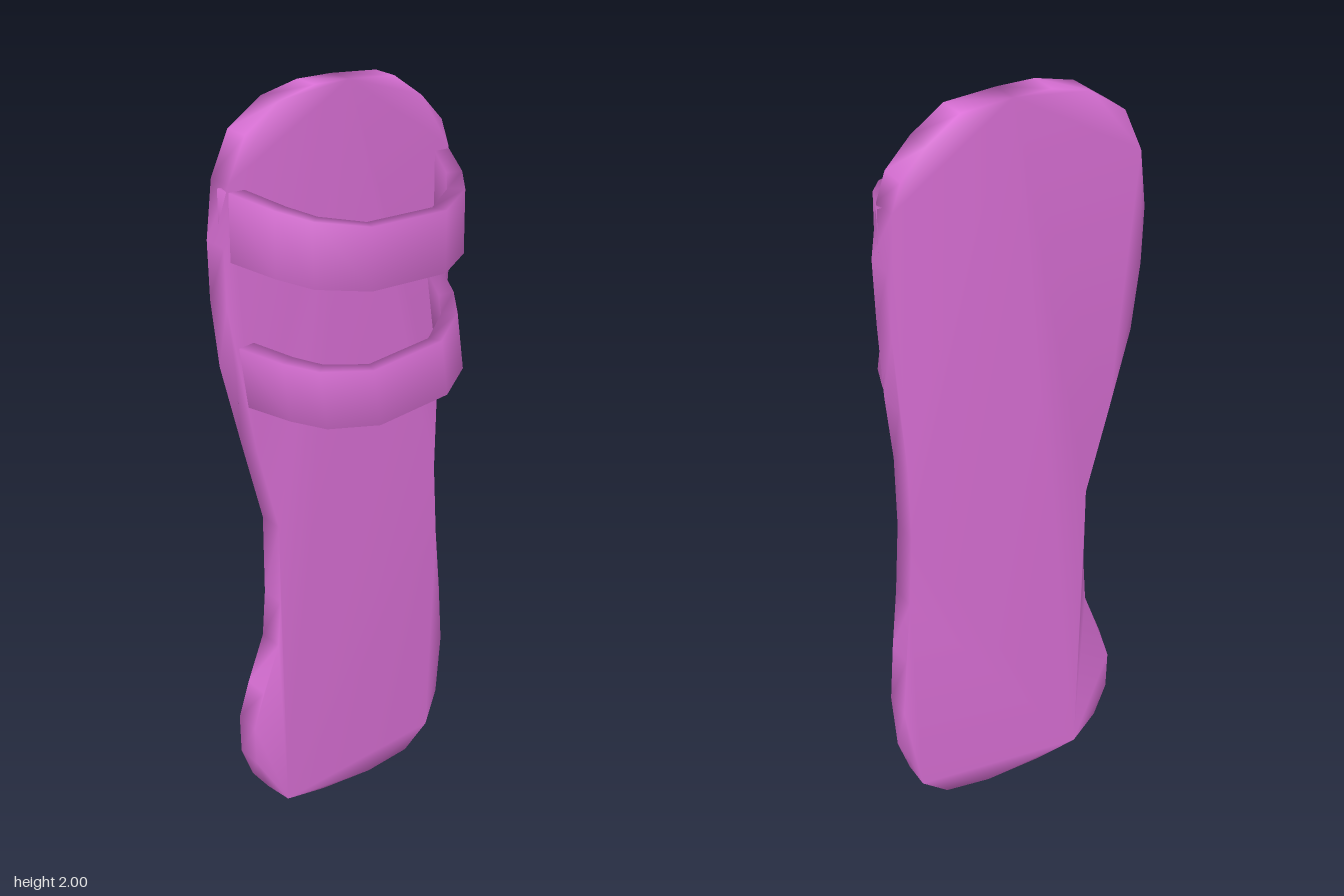
import * as THREE from 'three';
import { mergeVertices } from 'three/addons/utils/BufferGeometryUtils.js';

const material = new THREE.MeshStandardMaterial({ color: 0xda70d6 });
const SOLE_FRONT = -0.095;
const SOLE_BACK = -0.17;

// Share vertices so the shading rolls softly over the edges
function soften(geometry) {
  geometry.deleteAttribute('normal');
  geometry.deleteAttribute('uv');
  const merged = mergeVertices(geometry, 1e-4);
  merged.computeVertexNormals();
  return merged;
}

// Flat sole cut from a foot-shaped outline
function createSole() {
  const outline = [
    [-0.2, 0.02], [-0.08, 0.005], [0.08, 0], [0.21, 0.02], [0.285, 0.08], [0.32, 0.18],
    [0.335, 0.35], [0.325, 0.52], [0.31, 0.7], [0.3, 0.9], [0.305, 1.1], [0.325, 1.28],
    [0.338, 1.48], [0.345, 1.65], [0.328, 1.79], [0.305, 1.86], [0.24, 1.93], [0.155, 1.99],
    [0.02, 2], [-0.08, 2], [-0.185, 1.975], [-0.28, 1.91], [-0.33, 1.8], [-0.348, 1.65],
    [-0.345, 1.5], [-0.325, 1.32], [-0.27, 1.1], [-0.21, 0.87], [-0.21, 0.65],
    [-0.22, 0.52], [-0.27, 0.39], [-0.302, 0.29], [-0.3, 0.18], [-0.265, 0.09],
  ].map(([x, y]) => new THREE.Vector2(x, y));
  const geometry = new THREE.ExtrudeGeometry(new THREE.Shape(outline), {
    depth: SOLE_FRONT - SOLE_BACK, bevelEnabled: false,
  });
  geometry.translate(0, 0, SOLE_BACK);
  return new THREE.Mesh(soften(geometry), material);
}

// Arched strap: four-cornered sections swept over the foot, z measured from the sole
function createStrapGeometry() {
  // outer x, outer z, inner x, inner z, top y, bottom y
  const half = [
    [0.342, -0.03, 0.298, -0.03, 0.092, -0.08],
    [0.33, 0, 0.285, 0, 0.086, -0.085],
    [0.28, 0.115, 0.238, 0.105, 0.062, -0.104],
    [0.225, 0.195, 0.193, 0.166, 0.045, -0.119],
    [0.11, 0.267, 0.097, 0.228, 0.03, -0.127],
  ];
  const mirrored = half.map(([xo, zo, xi, zi, t, b]) => [-xo, zo, -xi, zi, t, b]).reverse();
  const sections = [...half, ...mirrored];
  const positions = [];
  const index = [];
  sections.forEach(([xo, zo, xi, zi, top, bottom], i) => {
    positions.push(xo, top, zo, xo, bottom, zo, xi, bottom, zi, xi, top, zi);
    if (i === sections.length - 1) return;
    for (let j = 0; j < 4; j++) {
      const a = i * 4 + j;
      const b = i * 4 + ((j + 1) % 4);
      index.push(a, a + 4, b, b, a + 4, b + 4);
    }
  });
  const geometry = new THREE.BufferGeometry();
  geometry.setAttribute('position', new THREE.Float32BufferAttribute(positions, 3));
  geometry.setIndex(index);
  geometry.computeVertexNormals();
  return geometry;
}

export function createModel() {
  const model = new THREE.Group();
  model.name = 'sandal';

  const sole = createSole();
  sole.name = 'sole';
  model.add(sole);

  const strapGeometry = createStrapGeometry();

  // Level strap over the toes
  const toeStrap = new THREE.Mesh(strapGeometry, material);
  toeStrap.name = 'toeStrap';
  toeStrap.position.set(0, 1.695, SOLE_FRONT);
  model.add(toeStrap);

  // Slightly smaller, slanted strap over the instep
  const instepStrap = new THREE.Mesh(strapGeometry, material);
  instepStrap.name = 'instepStrap';
  instepStrap.position.set(0.008, 1.35, SOLE_FRONT);
  instepStrap.rotation.z = 0.137;
  instepStrap.scale.set(0.95, 0.95, 0.975);
  model.add(instepStrap);

  return model;
}
